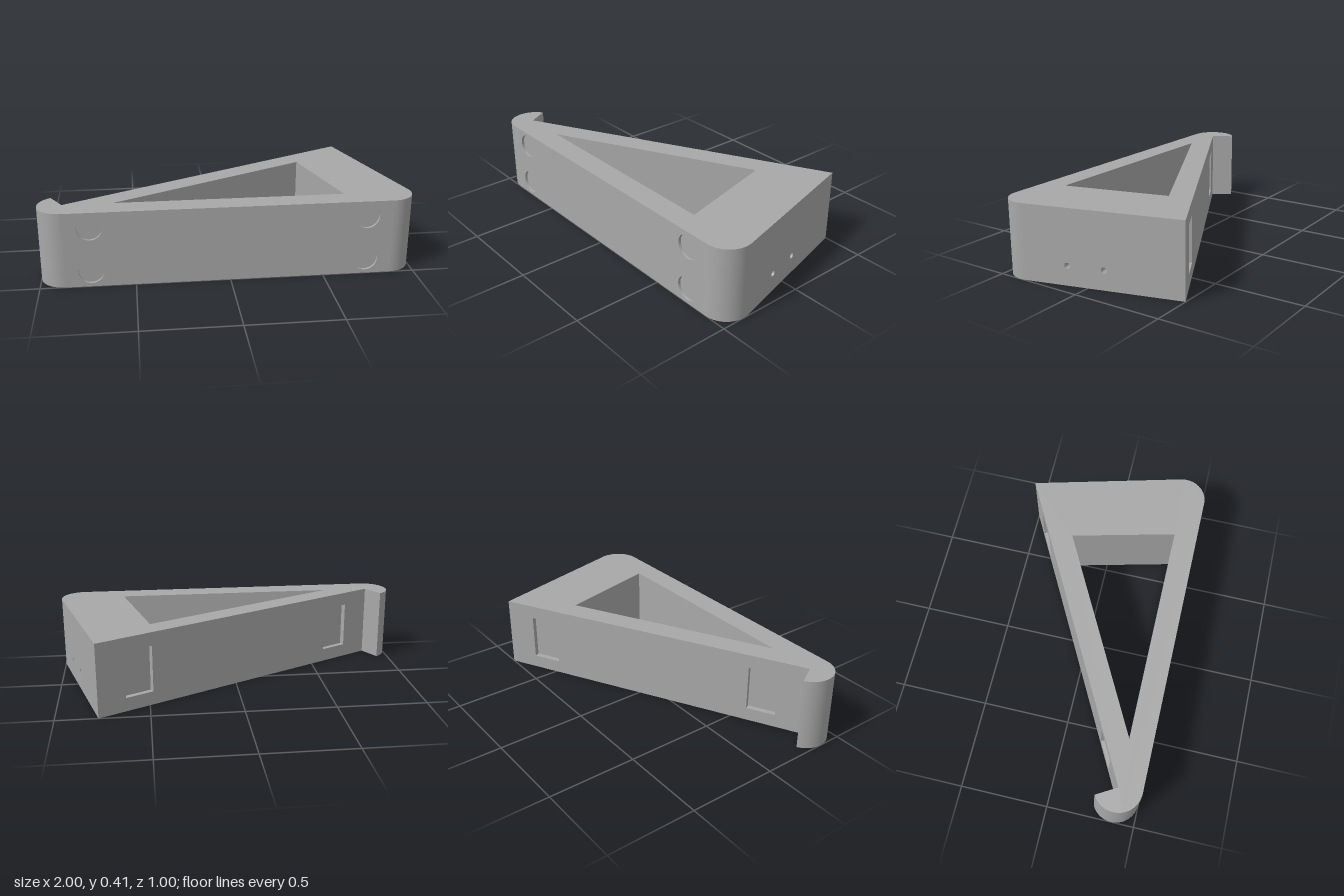
import * as THREE from 'three';
import { toCreasedNormals } from 'three/addons/utils/BufferGeometryUtils.js';

const H = 0.412, R = 0.13, TILT = Math.PI / 12;
const V = (x, y) => new THREE.Vector2(x, y);

export function createModel() {
  const group = new THREE.Group();
  const grey = new THREE.MeshStandardMaterial({ color: 0xa8a8a8, side: THREE.DoubleSide });
  grey.name = 'grey plastic';

  function add(name, geometry, parent = group) {
    const mesh = new THREE.Mesh(geometry, grey);
    mesh.name = name;
    parent.add(mesh);
    return mesh;
  }

  // Plan points are (x, z); shape points are (x, -z) so that shapes lie flat after rotateX
  const flip = (pts) => pts.map((p) => V(p.x, -p.y));
  const arc = (cx, cz, a0, a1, n = 20) => Array.from({ length: n + 1 }, (_, i) => {
    const a = a0 + (a1 - a0) * i / n;
    return V(cx + R * Math.cos(a), cz + R * Math.sin(a));
  });

  // Strip of quads that follows a path and rises along +z
  function ribbon(pts, height, closed = false) {
    const pos = [];
    const n = closed ? pts.length : pts.length - 1;
    for (let i = 0; i < n; i++) {
      const a = pts[i], b = pts[(i + 1) % pts.length];
      pos.push(a.x, a.y, 0, b.x, b.y, 0, b.x, b.y, height);
      pos.push(a.x, a.y, 0, b.x, b.y, height, a.x, a.y, height);
    }
    const g = new THREE.BufferGeometry();
    g.setAttribute('position', new THREE.Float32BufferAttribute(pos, 3));
    return toCreasedNormals(g, 0.5);
  }
  const wall = (name, pts, height, closed) =>
    add(name, ribbon(flip(pts), height, closed).rotateX(-Math.PI / 2));

  // Flat horizontal face, facing up (s = 1) or down (s = -1)
  function cap(name, pts, holes, y, s) {
    const map = (list) => list.map((p) => V(p.x, -s * p.y));
    const shape = new THREE.Shape(map(pts));
    shape.holes = holes.map((h) => new THREE.Path(map(h)));
    add(name, new THREE.ShapeGeometry(shape).rotateX(-s * Math.PI / 2).translate(0, y, 0));
  }

  // Upright wall from plan point a to b, with recesses { pts, depth, floor }
  function panel(name, a, b, y0, y1, recesses) {
    const len = a.distanceTo(b);
    const g = new THREE.Group();
    g.name = name;
    g.position.set(a.x, 0, a.y);
    g.rotation.y = -Math.atan2(b.y - a.y, b.x - a.x);
    const shape = new THREE.Shape([V(0, y0), V(len, y0), V(len, y1), V(0, y1)]);
    shape.holes = recesses.map((r) => new THREE.Path(r.pts));
    add(name + 'Face', new THREE.ShapeGeometry(shape), g);
    for (const r of recesses) {
      if (!r.depth) continue;
      add('recessSides', ribbon([...r.pts].reverse(), r.depth, true).translate(0, 0, -r.depth), g);
      if (r.floor) {
        add('recessFloor', new THREE.ShapeGeometry(new THREE.Shape(r.pts)).translate(0, 0, -r.depth), g);
      }
    }
    group.add(g);
  }
  const circle = (x, y, r, n) => Array.from({ length: n }, (_, i) =>
    V(x + r * Math.cos(i / n * 2 * Math.PI), y + r * Math.sin(i / n * 2 * Math.PI)));
  const rect = (x0, x1, y0, y1) => [V(x0, y0), V(x1, y0), V(x1, y1), V(x0, y1)];

  // Plan outline: front edge, rounded right corner, rear apex, notch and hook
  const apex = V(0.772, -0.5), notch = V(-0.87, 0.37);
  const corner = arc(0.87, 0.37, Math.PI / 2, -TILT);
  const hook = arc(-0.87, 0.37, Math.PI * 4 / 3, Math.PI / 2, 28);
  const side = corner[corner.length - 1];
  const outline = [...corner, apex, notch, ...hook];
  const opening = [V(-0.605, 0.37), V(0.485, -0.205), V(0.63, 0.37)];

  // Underside compartment, measured along and inward from the tilted side wall
  const along = apex.clone().sub(side).normalize();
  const inward = V(along.y, -along.x);
  const at = (u, d) => side.clone().addScaledVector(along, u).addScaledVector(inward, d);
  const depth = 0.216, u0 = 0.13, u1 = 0.52, d0 = 0.08, d1 = 0.285;
  const bay = [at(u0, d0), at(u0, d1), at(u1, d1), at(u1, d0)];

  // Top, underside and the triangular opening
  cap('topFace', outline, [opening], H, 1);
  cap('undersideFace', outline, [opening, bay], 0, -1);
  wall('openingWalls', opening, H, true);

  // Rounded ends and the inside of the hook
  wall('roundedCorner', corner, H);
  wall('hookCurve', hook, H);
  wall('hookInnerFace', [notch, hook[0]], H);

  // Front with four shallow round recesses
  const discs = [];
  for (const x of [0.14, 1.6]) {
    for (const y of [0.085, 0.327]) {
      discs.push({ pts: circle(x, y, 0.066, 40), depth: 0.015, floor: true });
    }
  }
  panel('frontWall', hook[hook.length - 1], corner[0], 0, H, discs);

  // Sloping back with two rectangular recesses
  panel('backWall', apex, notch, 0, H, [[0.165, 0.33], [1.53, 1.695]].map(([a, b]) =>
    ({ pts: rect(a, b, 0.076, 0.336), depth: 0.03, floor: true })));

  // Side wall with two small holes that lead into the compartment
  const holes = [0.24, 0.44];
  panel('sideWall', side, apex, 0, H, holes.map((u) =>
    ({ pts: circle(u, 0.108, 0.016, 24), depth: d0 })));
  panel('compartmentOuterWall', bay[3], bay[0], 0, depth, holes.map((u) =>
    ({ pts: circle(u1 - u, 0.108, 0.016, 24) })));
  wall('compartmentWalls', bay, depth);
  cap('compartmentCeiling', bay, [], depth, -1);

  return group;
}
